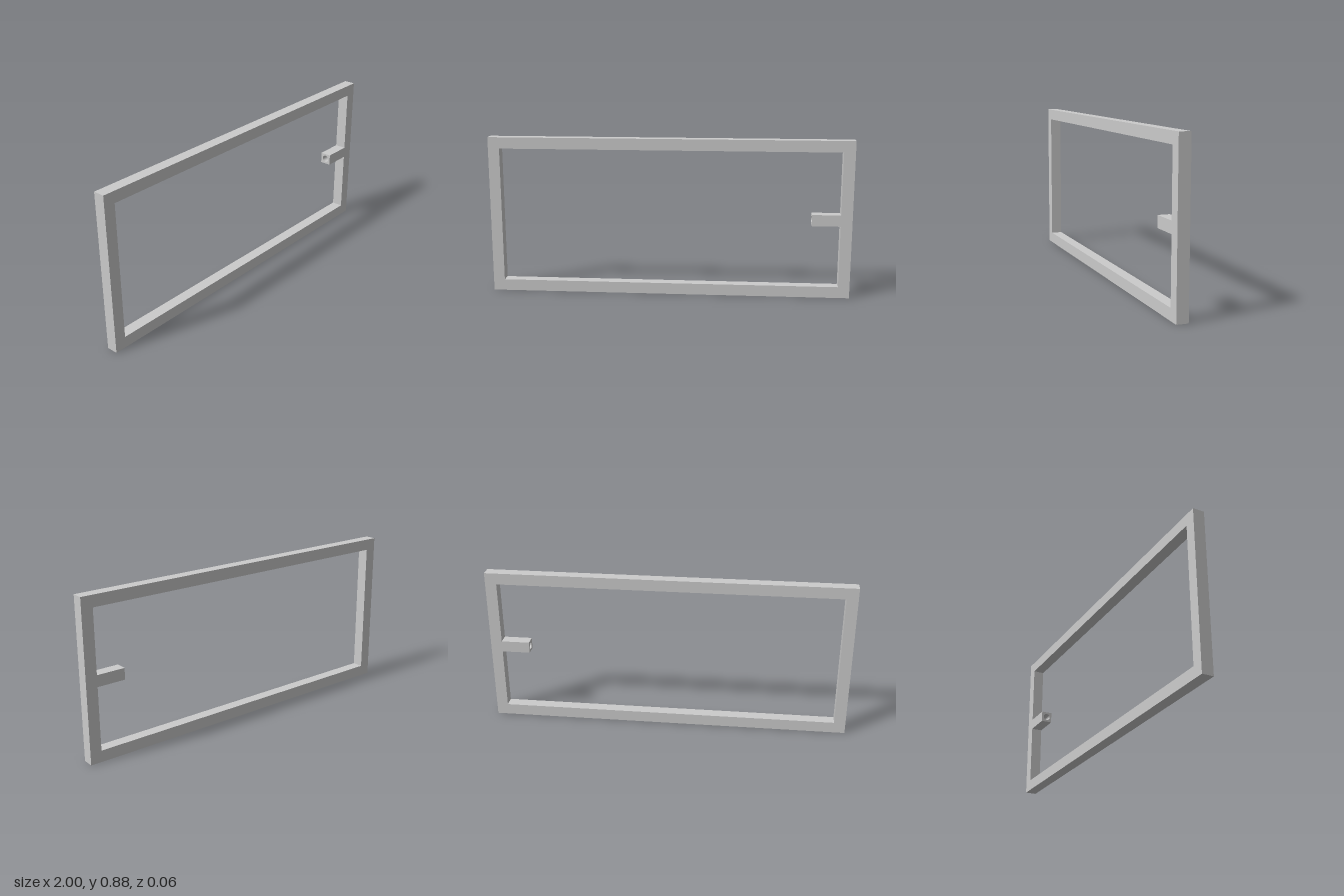
import * as THREE from 'three';

const W = 2, H = 0.875, T = 0.0625; // overall width, height and bar thickness

function rect(target, w, h) {
  target.moveTo(-w / 2, -h / 2);
  target.lineTo(w / 2, -h / 2);
  target.lineTo(w / 2, h / 2);
  target.lineTo(-w / 2, h / 2);
  target.closePath();
  return target;
}

function extrude(shape, depth) {
  return new THREE.ExtrudeGeometry(shape, { depth, bevelEnabled: false, curveSegments: 16 });
}

export function createModel() {
  const group = new THREE.Group();
  const material = new THREE.MeshStandardMaterial({ color: 0xcccccc });

  // Rectangular frame of square bars
  const outline = rect(new THREE.Shape(), W, H);
  outline.holes.push(rect(new THREE.Path(), W - 2 * T, H - 2 * T));
  const frame = new THREE.Mesh(extrude(outline, T).translate(0, H / 2, -T / 2), material);
  frame.name = 'frame';
  group.add(frame);

  // Short square peg on the inside of the +x bar, with a round bore in its free end
  const length = 0.156;
  const section = rect(new THREE.Shape(), T, T);
  section.holes.push(new THREE.Path().absarc(0, 0, 0.02, 0, Math.PI * 2, true));
  const pegGeometry = extrude(section, length).rotateY(Math.PI / 2);
  const peg = new THREE.Mesh(pegGeometry, material);
  peg.position.set(W / 2 - T - length, H / 2, 0);
  peg.name = 'boredPeg';
  group.add(peg);

  return group;
}
